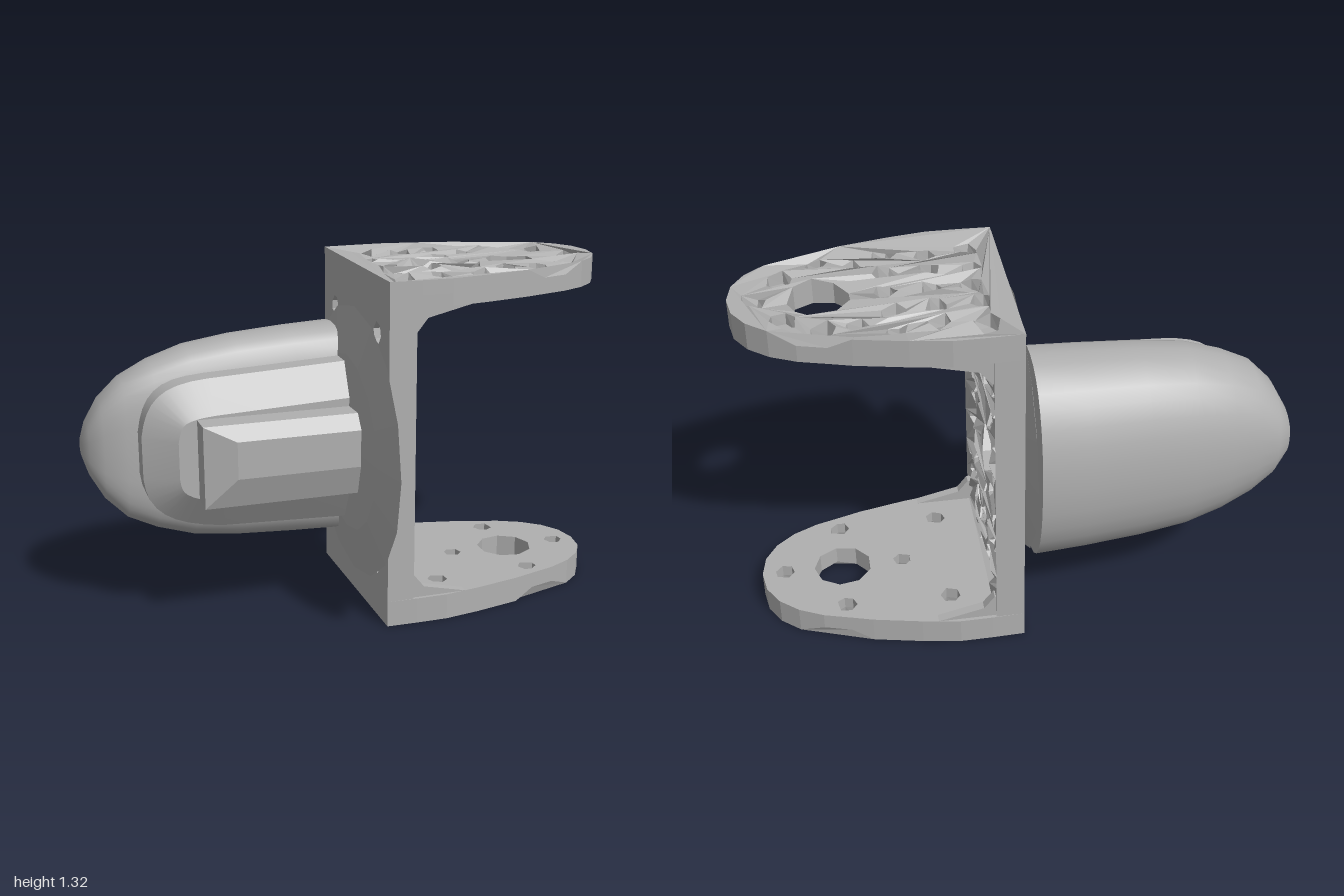
import * as THREE from 'three';
import { toCreasedNormals } from 'three/addons/utils/BufferGeometryUtils.js';

const MID_Y = 0.67, MID_Z = -0.12;

// small seeded random generator
function seeded(seed) {
  return () => {
    seed = (seed * 1664525 + 1013904223) % 4294967296;
    return seed / 4294967296;
  };
}

function flat(geometry) {
  const g = geometry.index ? geometry.toNonIndexed() : geometry;
  g.computeVertexNormals();
  return g;
}

// repeat [x, y, radius, through] holes on both sides of one or both axes
function mirrorHoles(list, bothAxes) {
  const out = [];
  for (const [x, y, r, through] of list) {
    for (const sx of bothAxes && x ? [1, -1] : [1]) {
      for (const sy of y ? [1, -1] : [1]) out.push({ x: x * sx, y: y * sy, r, through });
    }
  }
  return out;
}

// uneven polygon for each hole
function holePath(h, i) {
  const rnd = seeded(i * 977 + 13), pts = [];
  const big = h.r > 0.1, n = big ? 9 : 6;
  for (let k = 0; k < n; k++) {
    const a = ((k + (big ? 0 : rnd() * 0.5)) / n) * Math.PI * 2;
    const r = h.r * (big ? 1 : 0.8 + rnd() * 0.2);
    pts.push(new THREE.Vector2(h.x + Math.cos(a) * r, h.y + Math.sin(a) * r));
  }
  return new THREE.Path(pts);
}

function holedSlab(outline, holes, depth) {
  const shape = new THREE.Shape(outline.map(([x, y]) => new THREE.Vector2(x, y)));
  holes.forEach((h) => shape.holes.push(h.path));
  return new THREE.ExtrudeGeometry(shape, { depth, bevelEnabled: false });
}

// smooth base layer and crumpled, pocketed face layer; notches lower the rim
function roughPanel(outline, holes, baseDepth, faceDepth, notches) {
  holes.forEach((h, i) => { h.path = holePath(h, i); });
  const base = holedSlab(outline, holes.filter((h) => h.through), baseDepth);
  const face = holedSlab(outline, holes, faceDepth);
  const p = face.attributes.position, moved = new Map(), rnd = seeded(71);
  for (let i = 0; i < p.count; i++) {
    if (p.getZ(i) < faceDepth - 1e-4) continue;
    const x = p.getX(i), y = p.getY(i);
    if (notches.some(([nx, ny]) => Math.hypot(x - nx, Math.abs(y) - ny) < 1e-3)) {
      p.setZ(i, faceDepth * 0.3);
      continue;
    }
    const h = holes.find((c) => Math.hypot(x - c.x, y - c.y) < c.r * 1.02);
    if (!h) continue;
    const key = x.toFixed(4) + ',' + y.toFixed(4);
    if (!moved.has(key)) {
      moved.set(key, [h.r > 0.1 ? 1 : 1.05 + rnd() * 0.28, rnd() * faceDepth * 0.65]);
    }
    const [s, drop] = moved.get(key);
    p.setXYZ(i, h.x + (x - h.x) * s, h.y + (y - h.y) * s, faceDepth - drop);
  }
  face.translate(0, 0, baseDepth);
  return [flat(base), flat(face)];
}

// rounded hull from cross-sections along x: [x, half height, back z, front z]
function hull(stations, sides) {
  const pos = [], idx = [];
  const bend = (v, power) => Math.sign(v) * Math.pow(Math.abs(v), power);
  for (const [x, hy, z0, z1] of stations) {
    const zm = z0 + (z1 - z0) * 0.62;
    for (let k = 0; k < sides; k++) {
      const a = (k / sides) * Math.PI * 2, c = Math.cos(a), s = Math.sin(a);
      const power = s > 0 ? 0.6 : 0.9;
      pos.push(x, MID_Y + bend(c, power) * hy, zm + bend(s, power) * (s > 0 ? z1 - zm : zm - z0));
    }
  }
  for (let j = 0; j < stations.length - 1; j++) {
    for (let k = 0; k < sides; k++) {
      const a = j * sides + k, b = j * sides + (k + 1) % sides;
      idx.push(a, a + sides, b, b, a + sides, b + sides);
    }
  }
  const last = (stations.length - 1) * sides;
  for (let k = 1; k < sides - 1; k++) {
    idx.push(last, last + k + 1, last + k);
    idx.push(0, k, k + 1);
  }
  const g = new THREE.BufferGeometry();
  g.setAttribute('position', new THREE.Float32BufferAttribute(pos, 3));
  g.setIndex(idx);
  return toCreasedNormals(g, 0.6);
}

export function createModel() {
  const model = new THREE.Group();
  const grey = new THREE.MeshStandardMaterial({ color: 0xb0b0b0 });
  grey.name = 'grey';
  const add = (name, geometry, parent = model) => {
    const mesh = new THREE.Mesh(geometry, grey);
    mesh.name = name;
    parent.add(mesh);
    return mesh;
  };

  // bracket arms, rough on their outer sides
  const side = [[0.04, 0.385], [0.16, 0.388], [0.28, 0.388], [0.42, 0.365], [0.6, 0.325],
    [0.68, 0.3], [0.78, 0.27], [0.87, 0.225], [0.94, 0.165], [0.985, 0.09]];
  const armOutline = [...side.map(([x, z]) => [x, -z]), [1, 0], ...side.slice().reverse()];
  const armHoles = mirrorHoles([
    [0.69, 0, 0.11, true], [0.69, 0.225, 0.042, true], [0.915, 0, 0.04, true],
    [0.3, 0.235, 0.04, true], [0.46, 0, 0.042, true], [0.3, 0, 0.04],
    [0.15, 0.12, 0.04], [0.15, 0.27, 0.045], [0.3, 0.115, 0.035], [0.45, 0.13, 0.045],
    [0.45, 0.26, 0.04], [0.57, 0.2, 0.04], [0.82, 0.14, 0.045], [0.17, 0, 0.04],
  ], false);
  const armParts = roughPanel(armOutline, armHoles, 0.045, 0.055, [side[5], side[6]]);
  armParts.forEach((g) => g.rotateX(-Math.PI / 2));
  const gusset = new THREE.ExtrudeGeometry(new THREE.Shape([
    [0.13, 0.01], [0.13, -0.09], [0.15, -0.09], [0.19, -0.04], [0.36, 0], [0.36, 0.01],
  ].map(([x, y]) => new THREE.Vector2(x, y))), { depth: 0.035, bevelEnabled: false });
  for (const top of [true, false]) {
    const arm = new THREE.Group();
    arm.name = top ? 'upperArm' : 'lowerArm';
    add('armInnerLayer', armParts[0], arm);
    add('armOuterLayer', armParts[1], arm);
    for (const z of [-0.375, 0.34]) add('cornerGusset', gusset, arm).position.z = z;
    arm.position.set(0, top ? 1.23 : 0.11, MID_Z);
    if (!top) arm.rotation.x = Math.PI;
    model.add(arm);
  }

  // upright plate joining the arms, rough on the inside
  const w = 0.385, h = 0.56, plateOutline = [];
  for (let k = 0; k < 8; k++) plateOutline.push([w, -h + (k / 8) * 2 * h]);
  for (let k = 0; k < 4; k++) plateOutline.push([w - (k / 4) * 2 * w, h]);
  for (let k = 0; k < 8; k++) plateOutline.push([-w, h - (k / 8) * 2 * h]);
  for (let k = 0; k < 4; k++) plateOutline.push([-w + (k / 4) * 2 * w, -h]);
  const plateHoles = mirrorHoles([
    [0, 0, 0.15, true], [0.25, 0.45, 0.045, true], [0.315, 0.31, 0.025, true],
    [0.24, 0, 0.06], [0.2, 0.22, 0.05], [0, 0.24, 0.05], [0.12, 0.34, 0.042],
    [0, 0.36, 0.04], [0, 0.46, 0.04], [0.12, 0.46, 0.04], [0.22, 0.34, 0.03],
    [0.32, 0.15, 0.03], [0.16, 0.12, 0.03], [0.34, 0.42, 0.025],
    [0.06, 0.525, 0.024], [0.18, 0.525, 0.024],
  ], true);
  const plate = new THREE.Group();
  plate.name = 'uprightPlate';
  const plateParts = roughPanel(plateOutline, plateHoles, 0.04, 0.065, []);
  plateParts.forEach((g) => g.rotateY(Math.PI / 2));
  add('plateBackLayer', plateParts[0], plate);
  add('plateFaceLayer', plateParts[1], plate);
  plate.position.set(0.04, MID_Y, MID_Z);
  model.add(plate);

  // thin-edged disc between bracket and body
  const disc = new THREE.LatheGeometry(
    [[0, -0.032], [0.36, -0.03], [0.52, 0.005], [0.34, 0.035], [0.15, 0.045], [0, 0.045]]
      .map(([x, y]) => new THREE.Vector2(x, y)), 16);
  disc.rotateZ(Math.PI / 2);
  add('mountDisc', flat(disc)).position.set(0, 0.675, 0);

  // bullet-shaped main body
  add('bodyShell', hull([
    [-0.02, 0.418, -0.525, -0.08], [-0.2, 0.41, -0.515, -0.08], [-0.42, 0.395, -0.495, -0.08],
    [-0.6, 0.37, -0.475, -0.08], [-0.74, 0.325, -0.445, -0.09], [-0.85, 0.27, -0.415, -0.1],
    [-0.93, 0.19, -0.39, -0.13], [-0.98, 0.1, -0.35, -0.17], [-1, 0.035, -0.3, -0.22],
  ], 32));

  // raised front housing with bevelled rim, trimmed flat against the disc
  const s = new THREE.Shape();
  s.moveTo(0.1, 0.365);
  s.lineTo(-0.52, 0.385);
  s.bezierCurveTo(-0.72, 0.41, -0.8, 0.47, -0.81, 0.6);
  s.lineTo(-0.81, 0.76);
  s.bezierCurveTo(-0.79, 0.89, -0.74, 0.95, -0.56, 0.96);
  s.lineTo(0.1, 0.985);
  s.closePath();
  const housing = new THREE.ExtrudeGeometry(s, {
    depth: 0.1, bevelThickness: 0.08, bevelSize: 0.12, bevelOffset: -0.12,
    bevelSegments: 1, curveSegments: 8,
  });
  housing.translate(0, 0, -0.12);
  const hp = housing.attributes.position;
  for (let i = 0; i < hp.count; i++) hp.setX(i, Math.min(hp.getX(i), -0.02));
  add('frontHousing', toCreasedNormals(housing, 0.5));

  // connector block with a tapering front
  const block = new THREE.BoxGeometry(0.59, 0.31, 0.14, 1, 1, 2);
  const bp = block.attributes.position;
  for (let i = 0; i < bp.count; i++) {
    const left = bp.getX(i) < 0, up = bp.getY(i) > 0, z = bp.getZ(i);
    if (z > 0.05) {
      if (left) bp.setX(i, -0.18);
      bp.setY(i, up ? 0.1 : -0.04);
    } else if (z > -0.05) bp.setZ(i, 0.03);
  }
  block.translate(-0.325, 0.675, 0.125);
  add('connectorBlock', flat(block));

  return model;
}
